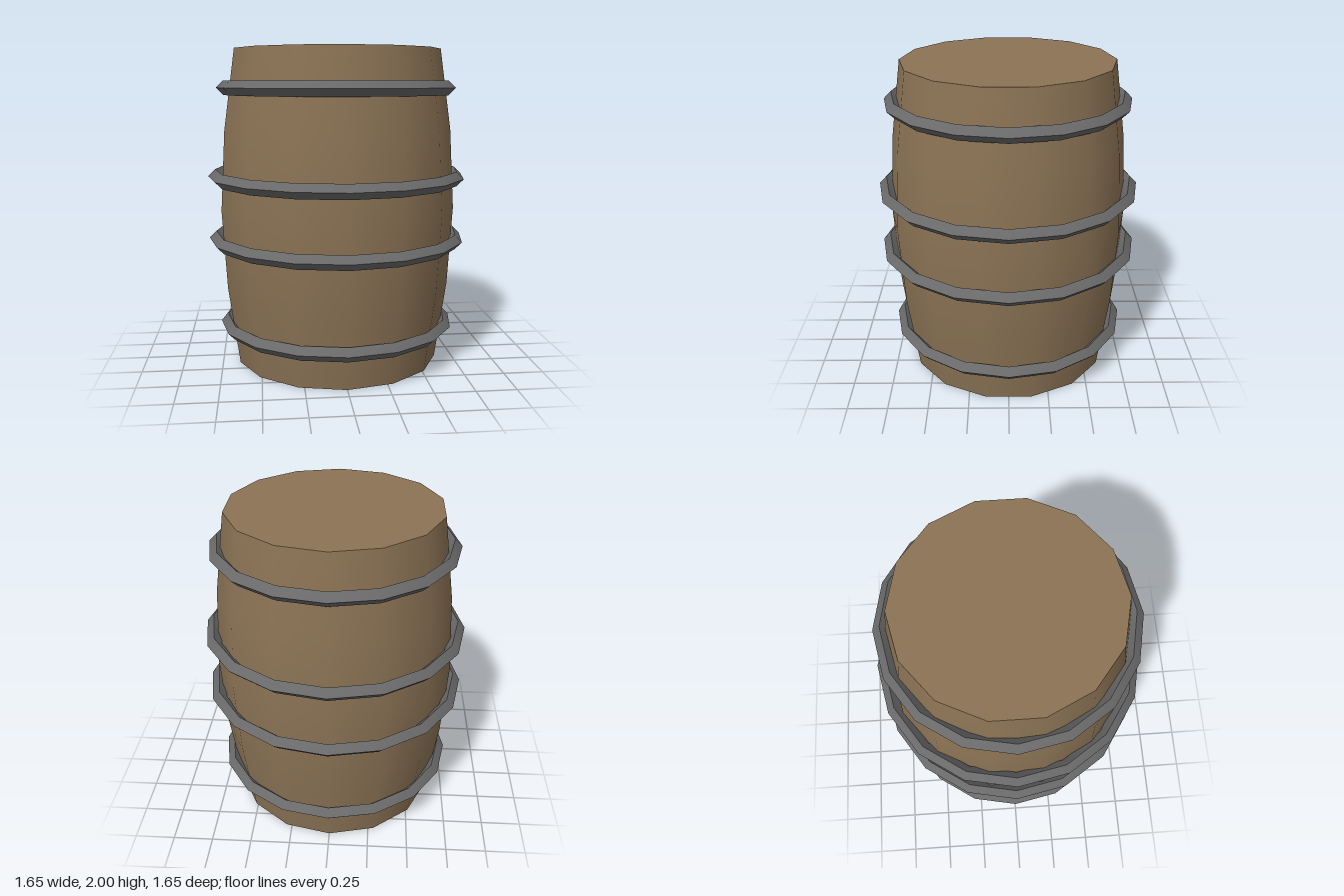
import * as THREE from 'three';
import { toCreasedNormals } from 'three/addons/utils/BufferGeometryUtils.js';

const SIDES = 14, END_RADIUS = 0.655, BULGE = 0.1, HEIGHT = 2;

export function createModel() {
  const model = new THREE.Group();
  model.name = 'barrel';
  const wood = new THREE.MeshStandardMaterial({ color: 0x8b7355 });
  wood.name = 'wood';
  const iron = new THREE.MeshStandardMaterial({ color: 0x696969 });
  iron.name = 'iron';

  const add = (name, geometry, material) => {
    const mesh = new THREE.Mesh(geometry, material);
    mesh.name = name;
    model.add(mesh);
    return mesh;
  };

  // Bulging staves
  const profile = [];
  for (let i = 0; i <= 4; i++) {
    const t = i / 4;
    profile.push(new THREE.Vector2(END_RADIUS + BULGE * Math.sin(Math.PI * t), HEIGHT * t));
  }
  add('staves', new THREE.LatheGeometry(profile, SIDES), wood);

  // Flat lid and base
  const disc = () => new THREE.CircleGeometry(END_RADIUS, SIDES, Math.PI / 2);
  add('lid', disc().rotateX(-Math.PI / 2), wood).position.y = HEIGHT;
  add('base', disc().rotateX(Math.PI / 2), wood);

  // Hoops with a diamond cross-section, mirrored about mid-height
  const hoops = [['outerHoop', 0.52 + 0.24, 0.716], ['middleHoop', 0.2, 0.779]];
  for (const [name, offset, radius] of hoops) {
    const geometry = toCreasedNormals(
      new THREE.TorusGeometry(radius, 0.045, 4, 16).rotateX(Math.PI / 2), 0.6);
    for (const side of [-1, 1]) {
      add(name + (side > 0 ? 'Upper' : 'Lower'), geometry, iron).position.y = HEIGHT / 2 + side * offset;
    }
  }
  return model;
}
